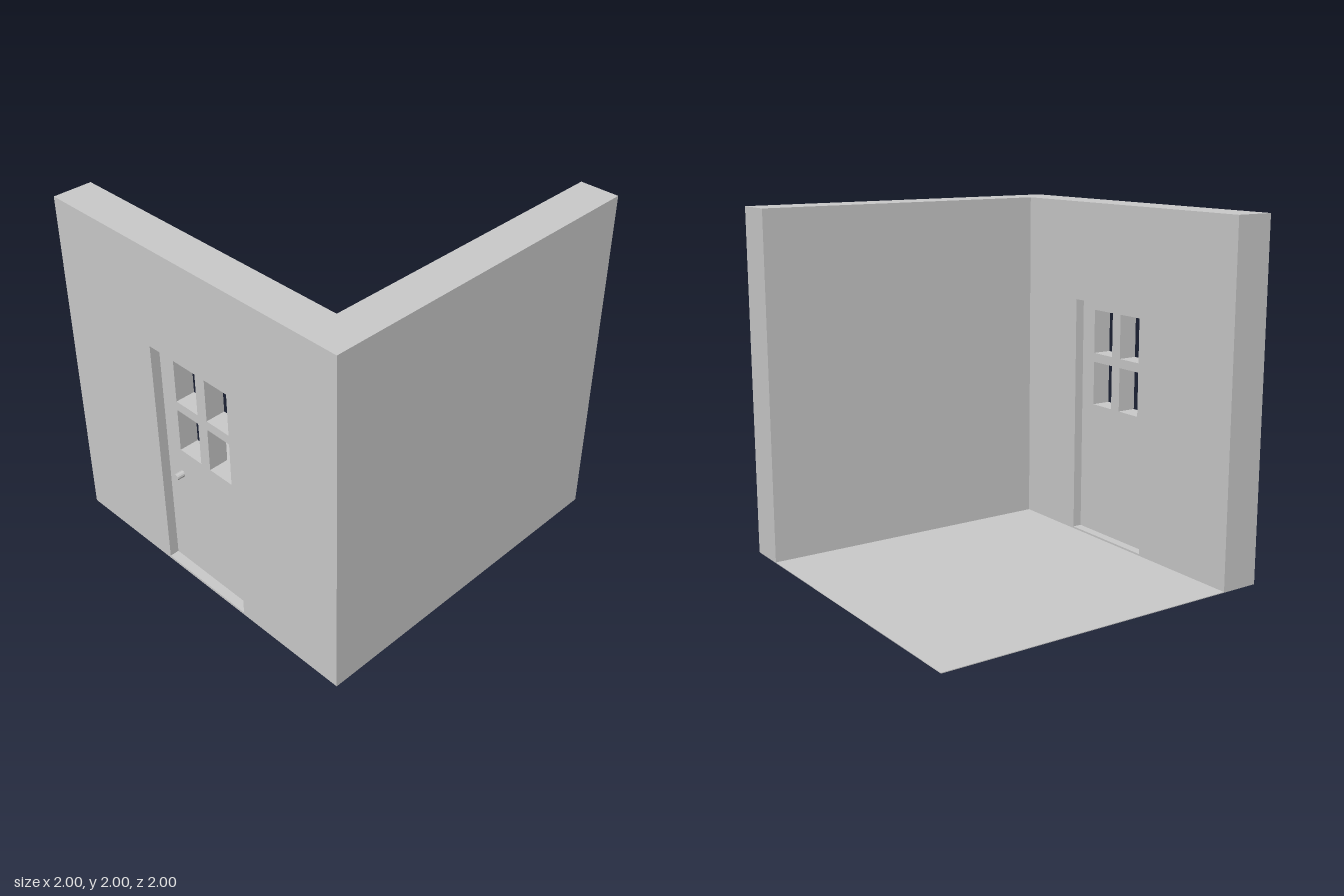
import * as THREE from 'three';

const FLOOR = 0.004; // floor thickness
const WALL = 0.225; // wall thickness

// Rectangle as a shape or as a hole
function rect(x0, y0, x1, y1, Type = THREE.Shape) {
  const r = new Type();
  r.moveTo(x0, y0);
  r.lineTo(x1, y0);
  r.lineTo(x1, y1);
  r.lineTo(x0, y1);
  r.closePath();
  return r;
}

export function createModel() {
  const group = new THREE.Group();
  const material = new THREE.MeshStandardMaterial({ color: 0xcccccc, flatShading: true });
  const add = (name, geometry, x, y, z) => {
    const mesh = new THREE.Mesh(geometry, material);
    mesh.name = name;
    mesh.position.set(x, y, z);
    group.add(mesh);
    return mesh;
  };
  const panel = (shape, depth) => new THREE.ExtrudeGeometry(shape, { depth, bevelEnabled: false });

  // Thin floor slab
  add('floor', new THREE.BoxGeometry(2, FLOOR, 2), 0, FLOOR / 2, 0);

  // Front wall with the doorway cut through
  const front = rect(-1, FLOOR, 1, 2);
  front.holes.push(rect(-0.307, 0.015, 0.307, 1.425, THREE.Path));
  add('frontWall', panel(front, WALL), 0, 0, 1 - WALL);

  // Side wall running back from the corner
  add('sideWall', new THREE.BoxGeometry(WALL, 2 - FLOOR, 2 - WALL), 1 - WALL / 2, 1 + FLOOR / 2, -WALL / 2);

  // Door set back from both wall faces, with four open panes
  const door = rect(-0.307, 0.015, 0.307, 1.425);
  for (const x of [-0.2, 0.035]) {
    for (const y of [0.8, 1.112]) door.holes.push(rect(x, y, x + 0.165, y + 0.258, THREE.Path));
  }
  add('door', panel(door, 0.115), 0, 0, 0.83);

  // Round knob on the outside
  const knob = add('doorKnob', new THREE.CylinderGeometry(0.019, 0.019, 0.05, 12), -0.2, 0.64, 0.968);
  knob.rotation.x = Math.PI / 2;

  return group;
}
